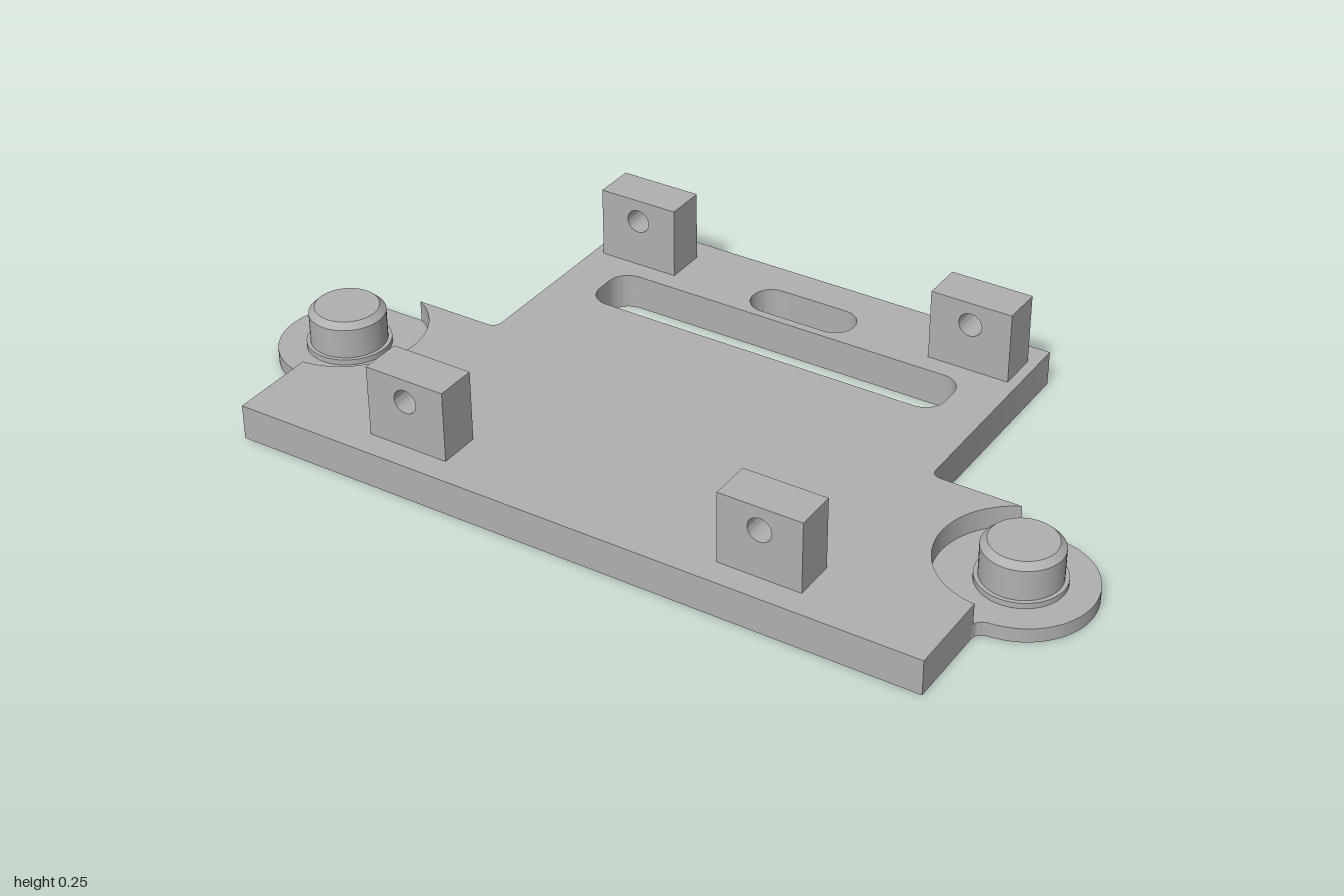
import * as THREE from 'three';
import { toCreasedNormals } from 'three/addons/utils/BufferGeometryUtils.js';

const EAR = { x: 0.84, z: 0.166, r: 0.16, recess: 0.18 };
const SIDE = 0.826, BACK = 0.55, HALF_Z = 0.553, STEP_Z = 0.005;
const PLATE_TOP = 0.083, EAR_TOP = 0.033;

// Rounded slot outline, centred on x = 0
function slot(halfX, z0, z1, r) {
  const p = new THREE.Path();
  p.absarc(halfX - r, z1 - r, r, 0, Math.PI / 2);
  p.absarc(-halfX + r, z1 - r, r, Math.PI / 2, Math.PI);
  p.absarc(-halfX + r, z0 + r, r, Math.PI, Math.PI * 1.5);
  p.absarc(halfX - r, z0 + r, r, Math.PI * 1.5, Math.PI * 2);
  p.closePath();
  return p;
}

// Mirrored plate outline; the callback draws the ear part of the left edge
function layer(drawEar, y0, y1) {
  const half = new THREE.Path();
  half.moveTo(0, HALF_Z);
  half.lineTo(SIDE, HALF_Z);
  drawEar(half);
  half.lineTo(BACK + 0.025, STEP_Z);
  half.quadraticCurveTo(BACK, STEP_Z, BACK, STEP_Z - 0.025);
  half.lineTo(BACK, -HALF_Z);
  half.lineTo(0, -HALF_Z);
  const pts = half.getPoints(40);
  const mirrored = pts.slice(1, -1).reverse().map((p) => new THREE.Vector2(-p.x, p.y));
  const shape = new THREE.Shape([...pts, ...mirrored]);
  shape.holes.push(slot(0.445, -0.347, -0.207, 0.05), slot(0.131, -0.467, -0.367, 0.049));
  const g = new THREE.ExtrudeGeometry(shape, { depth: y1 - y0, bevelEnabled: false, curveSegments: 16 });
  g.rotateX(Math.PI / 2).translate(0, y1, 0);
  return toCreasedNormals(g, 0.5);
}

export function createModel() {
  const model = new THREE.Group();
  model.name = 'mountingPlate';
  const grey = new THREE.MeshStandardMaterial({ color: 0xb0b0b0 });
  grey.name = 'grey';

  const add = (name, geometry, x = 0, y = 0, z = 0) => {
    const mesh = new THREE.Mesh(geometry, grey);
    mesh.name = name;
    mesh.position.set(x, y, z);
    model.add(mesh);
  };

  // Lower layer carries the thin round ears
  add('plateBaseWithEars', layer((p) => {
    p.lineTo(SIDE, 0.352);
    p.quadraticCurveTo(SIDE, 0.328, EAR.x + 0.015, EAR.z + EAR.r);
    p.absarc(EAR.x, EAR.z, EAR.r, 1.45, -Math.PI / 2, true);
  }, 0, EAR_TOP));

  // Upper layer is cut back by a circular recess around each peg
  const a0 = Math.acos((SIDE - EAR.x) / EAR.recess);
  const a1 = 2 * Math.PI - (Math.PI - Math.asin((EAR.z - STEP_Z) / EAR.recess));
  add('plateTop', layer((p) => {
    p.absarc(EAR.x, EAR.z, EAR.recess, a0, a1, false);
  }, EAR_TOP, PLATE_TOP));

  // Collared pegs with chamfered tops
  const profile = [[0.096, EAR_TOP], [0.096, 0.046], [0.087, 0.046], [0.087, 0.117], [0.073, 0.131], [0, 0.131]]
    .map(([r, y]) => new THREE.Vector2(r, y));
  const peg = toCreasedNormals(new THREE.LatheGeometry(profile, 48), 0.5);

  // Upright blocks with a cross hole
  const w = 0.0975, d = 0.098, h = 0.251 - PLATE_TOP;
  const block = new THREE.Shape([[-w, 0], [w, 0], [w, h], [-w, h]].map(([x, y]) => new THREE.Vector2(x, y)));
  block.holes.push(new THREE.Path().absarc(0, 0.197 - PLATE_TOP, 0.028, 0, Math.PI * 2));
  const post = toCreasedNormals(
    new THREE.ExtrudeGeometry(block, { depth: d, bevelEnabled: false, curveSegments: 24 }).translate(0, 0, -d / 2), 0.5);

  for (const s of [1, -1]) {
    const side = s > 0 ? 'left' : 'right';
    add(side + 'Peg', peg, s * EAR.x, 0, EAR.z);
    add(side + 'FrontPost', post, s * 0.428, PLATE_TOP, 0.444);
    add(side + 'BackPost', post, s * 0.428, PLATE_TOP, -0.444);
  }
  return model;
}
